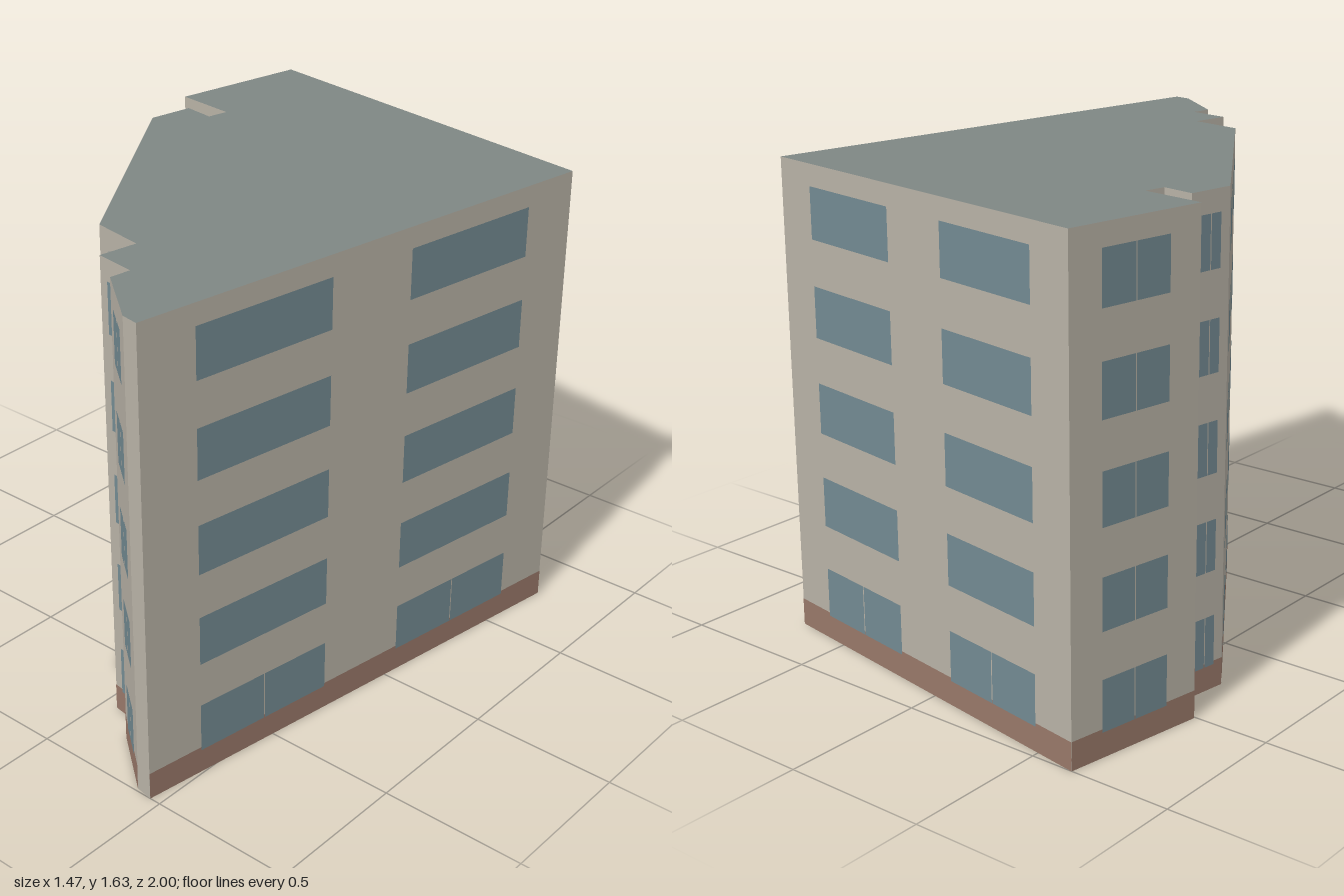
import * as THREE from 'three';
import { mergeGeometries } from 'three/addons/utils/BufferGeometryUtils.js';

const HEIGHT = 1.63, BAND = 0.095;
const FLOORS = 5, FLOOR_STEP = 0.3255, SILL = 0.084, WINDOW_H = 0.172;
const MULLION = 0.004;

// Building outline as [x, z], clockwise seen from above
const OUTLINE = [
  [-0.65, -1], [0.73, -0.77], [0.46, 1], [0.4, 0.99], [0.19, 0.825],
  [0.2, 0.753], [0.055, 0.73], [0.076, 0.597], [-0.113, 0.562], [-0.665, -0.26],
  [-0.64, -0.42], [-0.525, -0.4], [-0.511, -0.475], [-0.735, -0.505],
];

// Upright rectangle on the wall from a to b: t0..t1 along it, y0..y1 high, moved outward
function wallPanel(a, b, t0, t1, y0, y1, out) {
  const dx = b[0] - a[0], dz = b[1] - a[1], len = Math.hypot(dx, dz);
  const nx = dz / len, nz = -dx / len, t = (t0 + t1) / 2;
  return new THREE.PlaneGeometry(len * (t1 - t0), y1 - y0)
    .rotateY(Math.atan2(nx, nz))
    .translate(a[0] + dx * t + nx * out, (y0 + y1) / 2, a[1] + dz * t + nz * out);
}

export function createModel() {
  const model = new THREE.Group();
  model.name = 'apartmentBuilding';
  const walls = [], bands = [], windows = [];

  OUTLINE.forEach((a, i) => {
    const b = OUTLINE[(i + 1) % OUTLINE.length];
    const len = Math.hypot(b[0] - a[0], b[1] - a[1]);
    walls.push(wallPanel(a, b, 0, 1, 0, HEIGHT, 0));
    if (len > 0.07) bands.push(wallPanel(a, b, 0, 1, 0, BAND, 0.001));
    if (len < 0.125) return;

    // Long walls carry two wide windows per floor, short walls one divided window
    const long = len > 0.6;
    const spans = long ? [[0.115, 0.408], [0.592, 0.885]] : [[0.24, 0.76]];
    for (let f = 0; f < FLOORS; f++) {
      const y = SILL + f * FLOOR_STEP;
      for (const [t0, t1] of spans) {
        const mid = (t0 + t1) / 2, gap = MULLION / 2 / len;
        const panes = !long || f === 0 ? [[t0, mid - gap], [mid + gap, t1]] : [[t0, t1]];
        for (const [p0, p1] of panes) windows.push(wallPanel(a, b, p0, p1, y, y + WINDOW_H, 0.002));
      }
    }
  });

  const add = (name, geometry, color, side = THREE.FrontSide) => {
    const mesh = new THREE.Mesh(geometry, new THREE.MeshStandardMaterial({ color, side }));
    mesh.name = name;
    model.add(mesh);
  };

  // Walls are an open-bottomed shell
  add('walls', mergeGeometries(walls), 0xb8b2a6, THREE.DoubleSide);
  add('baseBand', mergeGeometries(bands), 0x987869);
  add('windows', mergeGeometries(windows), 0x738a92);

  // Flat roof
  const outline = new THREE.Shape(OUTLINE.map(([x, z]) => new THREE.Vector2(x, -z)));
  const roof = new THREE.ShapeGeometry(outline).rotateX(-Math.PI / 2).translate(0, HEIGHT, 0);
  add('roof', roof, 0x7f8784, THREE.DoubleSide);

  return model;
}
